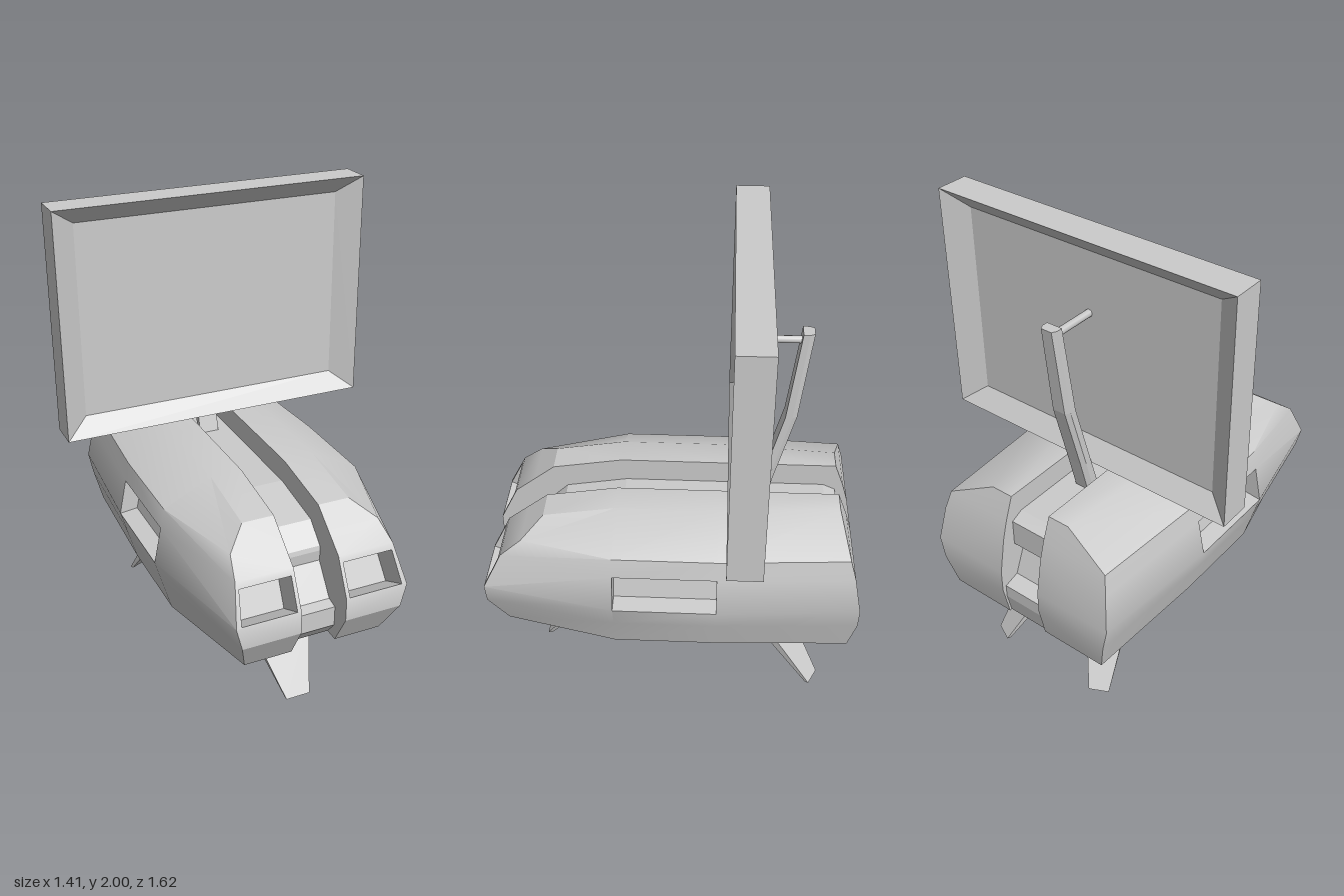
import * as THREE from 'three';
import { toCreasedNormals } from 'three/addons/utils/BufferGeometryUtils.js';

const material = new THREE.MeshStandardMaterial({ color: 0xcccccc });

function mesh(name, geometry) {
  const m = new THREE.Mesh(geometry, material);
  m.name = name;
  return m;
}

// Polygons (lists of corners, counterclockwise from outside) to a geometry; mirror = -1 flips x.
function fromFaces(faces, mirror = 1, crease = 0) {
  const pos = [];
  for (const f of faces) {
    for (let i = 1; i < f.length - 1; i++) {
      const tri = mirror > 0 ? [f[0], f[i], f[i + 1]] : [f[0], f[i + 1], f[i]];
      for (const p of tri) pos.push(p[0] * mirror, p[1], p[2]);
    }
  }
  const g = new THREE.BufferGeometry();
  g.setAttribute('position', new THREE.Float32BufferAttribute(pos, 3));
  g.computeVertexNormals();
  return crease ? toCreasedNormals(g, crease) : g;
}

// Skin over equal-sized rings, closed at both ends
function skin(rings) {
  const faces = [[...rings[0]].reverse(), rings[rings.length - 1]];
  for (let k = 0; k < rings.length - 1; k++) {
    const a = rings[k], b = rings[k + 1], n = a.length;
    for (let i = 0; i < n; i++) {
      const j = (i + 1) % n;
      faces.push([a[i], a[j], b[j], b[i]]);
    }
  }
  return fromFaces(faces);
}

// Faces of a recess: walls from the opening to the inner corners, then its back
function pocket(outer, inner) {
  const faces = [inner];
  for (let i = 0; i < 4; i++) {
    const j = (i + 1) % 4;
    faces.push([outer[i], outer[j], inner[j], inner[i]]);
  }
  return faces;
}

const INNER = 0.1, Z_MID = 0.24, Z_REAR = -0.2;

// Rows from bottom to top: front [x, y, z], middle [x, y], rear [x, y, z]
const ROWS = [
  [[0.31, 0.355, 0.73], [0.43, 0.355], [0.405, 0.355, -0.78]],
  [[0.355, 0.5, 0.81], [0.472, 0.5], [0.44, 0.5, -0.81]],
  [[0.38, 0.6, 0.81], [0.5, 0.6], [0.46, 0.6, -0.81]],
  [[0.35, 0.76, 0.73], [0.468, 0.76], [0.435, 0.76, -0.78]],
  [[0.33, 0.83, 0.64], [0.45, 0.845], [0.415, 0.845, -0.755]],
  [[0.24, 0.9, 0.55], [0.24, 0.95], [0.2, 0.95, -0.715]],
];

function bodyHalf(side) {
  const P = ROWS.map(([f, m, b]) => [
    [INNER, f[1], f[2]], f, [m[0], m[1], Z_MID], [m[0], m[1], Z_REAR], b, [INNER, b[1], b[2]],
  ]);
  const inward = ([, y, z]) => [INNER, y, z];
  const faces = [];
  for (let r = 0; r < P.length - 1; r++) {
    for (let c = 0; c < 5; c++) {
      const q = [P[r][c], P[r][c + 1], P[r + 1][c + 1], P[r + 1][c]];
      if (r === 2 && c === 2) {
        // side window
        faces.push(...pocket(q, [
          [0.42, 0.61, Z_MID], [0.42, 0.61, Z_REAR], [0.4, 0.7, Z_REAR], [0.4, 0.7, Z_MID],
        ]));
      } else if (r === 2 && c === 0) {
        // front window with its surround
        const at = (u, v) => [0, 1, 2].map((k) =>
          (q[0][k] * (1 - u) + q[1][k] * u) * (1 - v) + (q[3][k] * (1 - u) + q[2][k] * u) * v);
        const hole = [at(0.06, 0.03), at(0.92, 0.03), at(0.94, 0.84), at(0.06, 0.84)];
        for (let i = 0; i < 4; i++) {
          const j = (i + 1) % 4;
          faces.push([q[i], q[j], hole[j], hole[i]]);
        }
        faces.push(...pocket(hole, hole.map(([x, y, z]) => [x, y - 0.06, z - 0.12])));
      } else faces.push(q);
    }
    // wall along the central channel
    faces.push([P[r][5], P[r][0], P[r + 1][0], P[r + 1][5]]);
  }
  const top = P[P.length - 1], bottom = P[0];
  for (let c = 1; c < 4; c++) {
    faces.push([top[c], top[c + 1], inward(top[c + 1]), inward(top[c])]);
    faces.push([bottom[c + 1], bottom[c], inward(bottom[c]), inward(bottom[c + 1])]);
  }
  faces.push([top[5], top[0], inward(top[2])]);
  return fromFaces(faces, side, 0.5);
}

// Central core: side profile (z, y) extruded across the channel
function core() {
  const profile = [
    [0.67, 0.357], [0.72, 0.42], [0.72, 0.51], [0.67, 0.52], [0.575, 0.65], [0.58, 0.7],
    [0.575, 0.72], [0.49, 0.8], [0.22, 0.845], [-0.665, 0.845], [-0.72, 0.82], [-0.72, 0.7],
    [-0.67, 0.65], [-0.72, 0.53], [-0.79, 0.51], [-0.79, 0.45], [-0.77, 0.357],
  ];
  const shape = new THREE.Shape(profile.map(([z, y]) => new THREE.Vector2(z, y)));
  const g = new THREE.ExtrudeGeometry(shape, { depth: 2 * INNER, bevelEnabled: false });
  return g.rotateY(-Math.PI / 2).translate(INNER, 0, 0);
}

// Bent tapering leg reaching toward +z: half width, then lower and upper (y, z)
function leg(widths) {
  const path = [
    [0.365, 0.13, 0.365, 0.22],
    [0.245, 0.4, 0.26, 0.44],
    [0, 0.595, 0, 0.612],
  ];
  return skin(path.map(([y0, z0, y1, z1], i) => {
    const w = widths[i];
    return [[-w, y0, z0], [w, y0, z0], [w, y1, z1], [-w, y1, z1]];
  }));
}

export function createModel() {
  const model = new THREE.Group();
  model.name = 'screenOnPodStand';

  model.add(mesh('bodyLeft', bodyHalf(1)), mesh('bodyRight', bodyHalf(-1)), mesh('core', core()));

  // Three legs: one in front, two splayed behind
  model.add(mesh('frontLeg', leg([0.11, 0.135, 0.055])));
  for (const s of [1, -1]) {
    const m = mesh(s > 0 ? 'rearLegLeft' : 'rearLegRight', leg([0.075, 0.09, 0.045]));
    m.rotation.y = s * THREE.MathUtils.degToRad(180 - 26);
    m.position.set(s * 0.015, 0, -0.11);
    model.add(m);
  }

  // Bent arm with chamfered rear edges: y, front z, rear z, half width
  const armRings = [
    [0.8, -0.33, -0.385, 0.045],
    [1.0, -0.385, -0.435, 0.045],
    [1.3, -0.465, -0.515, 0.043],
    [1.695, -0.515, -0.562, 0.036],
  ].map(([y, zf, zb, w]) => [
    [-w, y, zf], [w, y, zf], [w, y, zb + 0.02], [w * 0.7, y, zb], [-w * 0.7, y, zb], [-w, y, zb + 0.02],
  ]);
  model.add(mesh('arm', skin(armRings)));

  // Rod from the arm to the screen
  const rod = new THREE.CylinderGeometry(0.016, 0.016, 0.23, 8).rotateX(Math.PI / 2);
  model.add(mesh('screenRod', rod.translate(0, 1.655, -0.425)));

  // Screen with a panel sunk behind bevelled rims on both faces
  const rect = (w, y0, y1, z) => [[-w, y0, z], [w, y0, z], [w, y1, z], [-w, y1, z]];
  model.add(mesh('screen', skin([
    rect(0.6, 1.065, 1.925, -0.315),
    rect(0.703, 0.985, 2, -0.38),
    rect(0.703, 0.985, 2, -0.235),
    rect(0.6, 1.065, 1.925, -0.3),
  ])));

  return model;
}
